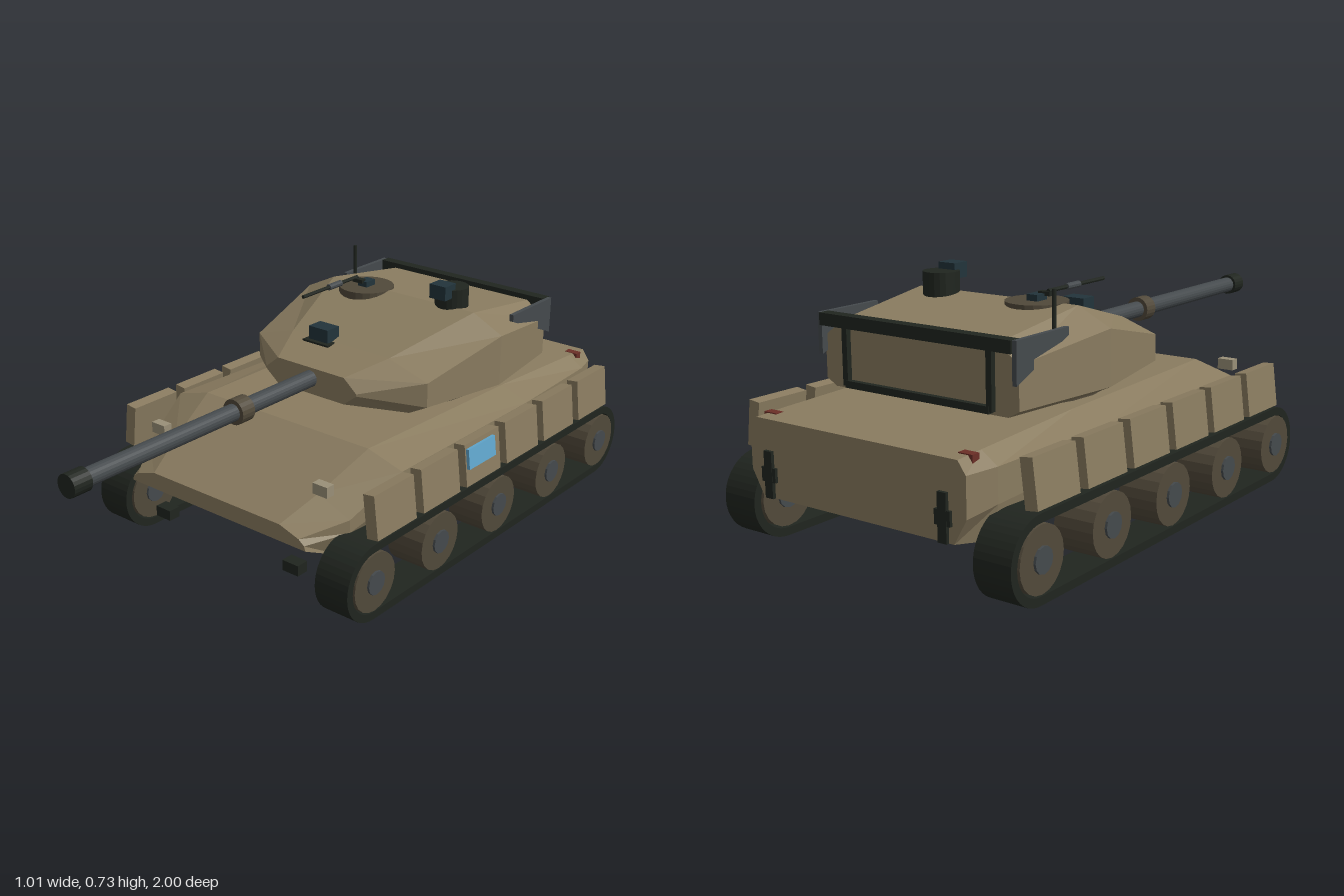
import * as THREE from 'three';

const mat = (color, extra = {}) =>
  new THREE.MeshStandardMaterial({ color, flatShading: true, ...extra });
const tan = mat(0x8a7c60), brown = mat(0x51493a), black = mat(0x20251f);
const steel = mat(0x454a4d), glass = mat(0x22343b), red = mat(0x6b2f27);
const blue = mat(0x62a8cf), lamp = mat(0x9a9078);

function add(parent, name, geometry, material, x = 0, y = 0, z = 0) {
  const mesh = new THREE.Mesh(geometry, material);
  mesh.name = name;
  mesh.position.set(x, y, z);
  parent.add(mesh);
  return mesh;
}
const box = (w, h, d) => new THREE.BoxGeometry(w, h, d);
const rodY = (r, h, n = 20) => new THREE.CylinderGeometry(r, r, h, n);
const rodX = (r, l, n = 20) => rodY(r, l, n).rotateZ(Math.PI / 2);
const rodZ = (r, l, n = 20) => rodY(r, l, n).rotateX(Math.PI / 2);

// Mirrored half sections [z, [x, y], ...] listed back to front, bottom to top
function loft(sections) {
  const rings = sections.map(([z, ...half]) => [
    ...half.map(([x, y]) => [x, y, z]),
    ...half.map(([x, y]) => [-x, y, z]).reverse(),
  ]);
  const pos = [];
  const n = rings[0].length;
  const tri = (a, b, c) => pos.push(...a, ...b, ...c);
  for (let s = 0; s < rings.length - 1; s++) {
    const a = rings[s], b = rings[s + 1];
    for (let i = 0; i < n; i++) {
      const j = (i + 1) % n;
      if (i < n / 2) {
        tri(a[i], a[j], b[j]);
        tri(a[i], b[j], b[i]);
      } else {
        tri(a[i], a[j], b[i]);
        tri(a[j], b[j], b[i]);
      }
    }
  }
  const back = rings[0], front = rings[rings.length - 1];
  for (let i = 1; i < n - 1; i++) {
    tri(back[0], back[i + 1], back[i]);
    tri(front[0], front[i], front[i + 1]);
  }
  const g = new THREE.BufferGeometry();
  g.setAttribute('position', new THREE.Float32BufferAttribute(pos, 3));
  g.computeVertexNormals();
  return g;
}

// Rounded track outline, used for the outer edge and the hole
function stadium(path, r, z0, z1, y) {
  path.moveTo(z0, y - r);
  path.lineTo(z1, y - r);
  path.absarc(z1, y, r, -Math.PI / 2, Math.PI / 2, false);
  path.lineTo(z0, y + r);
  path.absarc(z0, y, r, Math.PI / 2, Math.PI * 1.5, false);
  return path;
}

function runningGear(side) {
  const g = new THREE.Group();
  g.name = side > 0 ? 'leftTrackUnit' : 'rightTrackUnit';
  const cx = side * 0.438;
  const shape = stadium(new THREE.Shape(), 0.118, -0.865, 0.36, 0.118);
  shape.holes.push(stadium(new THREE.Path(), 0.094, -0.865, 0.36, 0.118));
  const belt = new THREE.ExtrudeGeometry(shape, { depth: 0.115, bevelEnabled: false, curveSegments: 10 });
  belt.translate(0, 0, -0.0575).rotateY(-Math.PI / 2);
  add(g, 'track', belt, black, cx, 0, 0);
  for (let i = 0; i < 5; i++) {
    const z = 0.36 - i * 0.306;
    add(g, 'roadWheel', rodX(0.09, 0.122), brown, cx, 0.12, z);
    add(g, 'wheelHub', rodX(0.036, 0.136, 12), steel, cx, 0.12, z);
  }
  // Leaning skirt panels
  for (let i = 0; i < 6; i++) {
    const panel = add(g, 'skirtPanel', box(0.038, 0.133, 0.178), tan, side * 0.477, 0.312, 0.268 - i * 0.213);
    panel.rotation.z = side * 0.12;
  }
  return g;
}

function buildHull() {
  const g = new THREE.Group();
  g.name = 'hull';
  add(g, 'hullBody', loft([
    [-0.99, [0.33, 0.16], [0.37, 0.23], [0.37, 0.34], [0.345, 0.375]],
    [-0.9, [0.378, 0.155], [0.395, 0.25], [0.395, 0.345], [0.345, 0.38]],
    [-0.5, [0.38, 0.155], [0.43, 0.285], [0.43, 0.36], [0.335, 0.395]],
    [0.17, [0.38, 0.155], [0.442, 0.3], [0.442, 0.37], [0.32, 0.405]],
    [0.35, [0.37, 0.155], [0.4, 0.235], [0.4, 0.275], [0.285, 0.32]],
    [0.475, [0.345, 0.21], [0.34, 0.225], [0.32, 0.24], [0.25, 0.262]],
  ]), tan);
  for (const s of [-1, 1]) {
    add(g, 'headlight', box(0.053, 0.033, 0.03), lamp, s * 0.32, 0.354, 0.37);
    add(g, 'towBlock', box(0.058, 0.033, 0.04), black, s * 0.257, 0.11, 0.42);
    add(g, 'tailLight', box(0.045, 0.028, 0.026), red, s * 0.336, 0.366, -0.937);
    add(g, 'rearBracket', box(0.028, 0.13, 0.02), black, s * 0.3, 0.225, -0.99);
    add(g, 'rearHook', box(0.05, 0.04, 0.018), black, s * 0.3, 0.225, -0.99);
  }
  add(g, 'sideMarker', box(0.01, 0.063, 0.137), blue, 0.499, 0.336, -0.142).rotation.z = 0.12;
  return g;
}

function buildTurret() {
  const g = new THREE.Group();
  g.name = 'turret';
  add(g, 'turretRing', rodY(0.3, 0.04, 24), brown, 0, 0.4, -0.36);
  add(g, 'turretBody', loft([
    [-0.735, [0.3, 0.415], [0.335, 0.435], [0.335, 0.555], [0.27, 0.605]],
    [-0.4, [0.32, 0.41], [0.386, 0.44], [0.386, 0.6], [0.28, 0.652]],
    [-0.09, [0.27, 0.415], [0.335, 0.45], [0.335, 0.527], [0.19, 0.57]],
    [0.05, [0.13, 0.45], [0.178, 0.488], [0.178, 0.495], [0.13, 0.535]],
  ]), tan);

  // Rear stowage frame with tapered side plates
  add(g, 'rearRackBar', box(0.66, 0.035, 0.035), black, 0, 0.605, -0.745);
  add(g, 'rearRackLowerBar', box(0.5, 0.02, 0.02), black, 0, 0.43, -0.742);
  const plate = new THREE.Shape([[-0.53, 0.622], [-0.755, 0.622], [-0.755, 0.505], [-0.53, 0.6]]
    .map(([z, y]) => new THREE.Vector2(z, y)));
  for (const s of [-1, 1]) {
    const geo = new THREE.ExtrudeGeometry(plate, { depth: 0.014, bevelEnabled: false });
    geo.translate(0, 0, -0.007).rotateY(-Math.PI / 2);
    add(g, 'rearSidePlate', geo, steel, s * 0.336, 0, 0);
    add(g, 'rearRackPost', box(0.018, 0.17, 0.018), black, s * 0.25, 0.51, -0.742);
  }

  // Roof fittings
  add(g, 'sightBase', box(0.1, 0.006, 0.075), black, -0.068, 0.567, -0.09);
  add(g, 'gunnerSight', box(0.075, 0.046, 0.055), glass, -0.068, 0.589, -0.095);
  add(g, 'hatch', rodY(0.09, 0.035, 24), brown, -0.142, 0.635, -0.4);
  add(g, 'commanderSightBase', rodY(0.053, 0.08, 20), black, 0.175, 0.67, -0.43);
  add(g, 'commanderSightHead', box(0.06, 0.045, 0.055), glass, 0.175, 0.707, -0.378);
  add(g, 'antenna', rodY(0.006, 0.13, 8), black, -0.31, 0.655, -0.55);

  // Roof machine gun
  add(g, 'machineGunMount', box(0.036, 0.025, 0.045), glass, -0.142, 0.658, -0.4);
  add(g, 'machineGunBarrel', rodZ(0.006, 0.27, 8), black, -0.17, 0.678, -0.25);
  add(g, 'machineGunReceiver', rodZ(0.01, 0.06, 10), steel, -0.17, 0.678, -0.27);
  add(g, 'machineGunArm', box(0.04, 0.012, 0.02), black, -0.158, 0.67, -0.38);
  return g;
}

function buildGun() {
  const g = new THREE.Group();
  g.name = 'mainGun';
  add(g, 'gunBarrel', rodZ(0.026, 0.95), steel, 0, 0.5, 0.47);
  add(g, 'barrelCollar', rodZ(0.039, 0.05), brown, 0, 0.5, 0.362);
  add(g, 'muzzle', rodZ(0.034, 0.06), black, 0, 0.5, 0.97);
  return g;
}

export function createModel() {
  const model = new THREE.Group();
  model.name = 'tank';
  model.add(buildHull(), buildTurret(), buildGun(), runningGear(1), runningGear(-1));
  return model;
}
